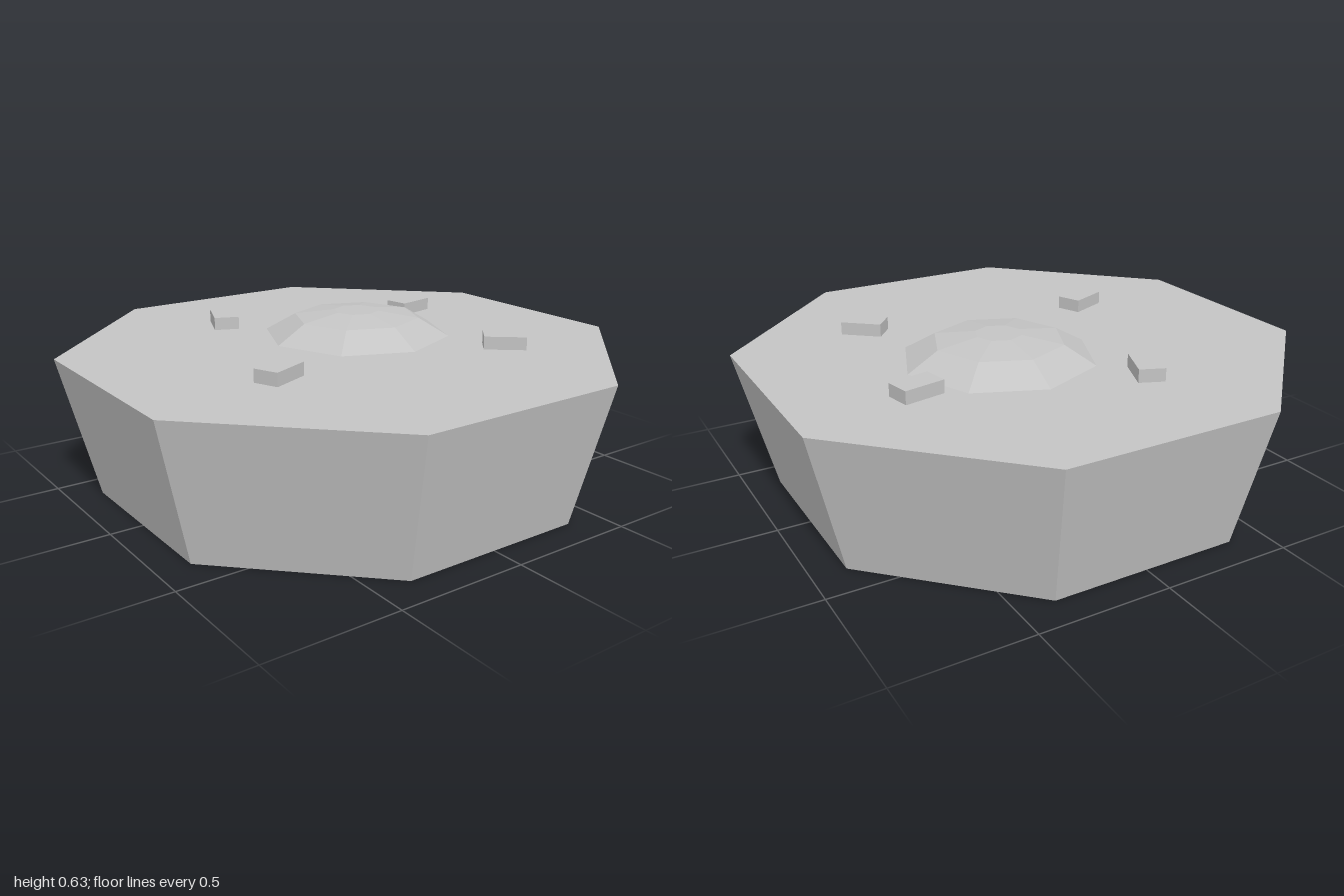
import * as THREE from 'three';

export function createModel() {
  const model = new THREE.Group();
  const stone = new THREE.MeshStandardMaterial({ color: 0xc4c4c4, flatShading: true });
  stone.name = 'grey stone';

  const add = (name, geometry, x, y, z, turn = 0) => {
    const mesh = new THREE.Mesh(geometry, stone);
    mesh.name = name;
    mesh.position.set(x, y, z);
    mesh.rotation.y = THREE.MathUtils.degToRad(turn);
    model.add(mesh);
  };

  // Tapered octagonal base with flat sides facing the axes
  const deck = 0.54;
  const corner = 1 / Math.cos(Math.PI / 8);
  add('base', new THREE.CylinderGeometry(corner, 0.875 * corner, deck, 8), 0, deck / 2, 0, 22.5);

  // Shallow faceted mound, off centre
  const profile = [[0.37, 0], [0.25, 0.069], [0.09, 0.092], [0, 0.092]]
    .map(([r, y]) => new THREE.Vector2(r, y));
  add('mound', new THREE.LatheGeometry(profile, 8), 0.135, deck, -0.095);

  // Small blocks scattered around the mound: x, z, turn in degrees
  const block = new THREE.BoxGeometry(0.16, 0.05, 0.098);
  [
    [-0.235, -0.512, 68],
    [0.553, -0.28, 11],
    [-0.465, 0.276, 23],
    [0.46, 0.415, -40],
  ].forEach(([x, z, turn], i) => add(`block${i + 1}`, block, x, deck + 0.025, z, turn));

  return model;
}
